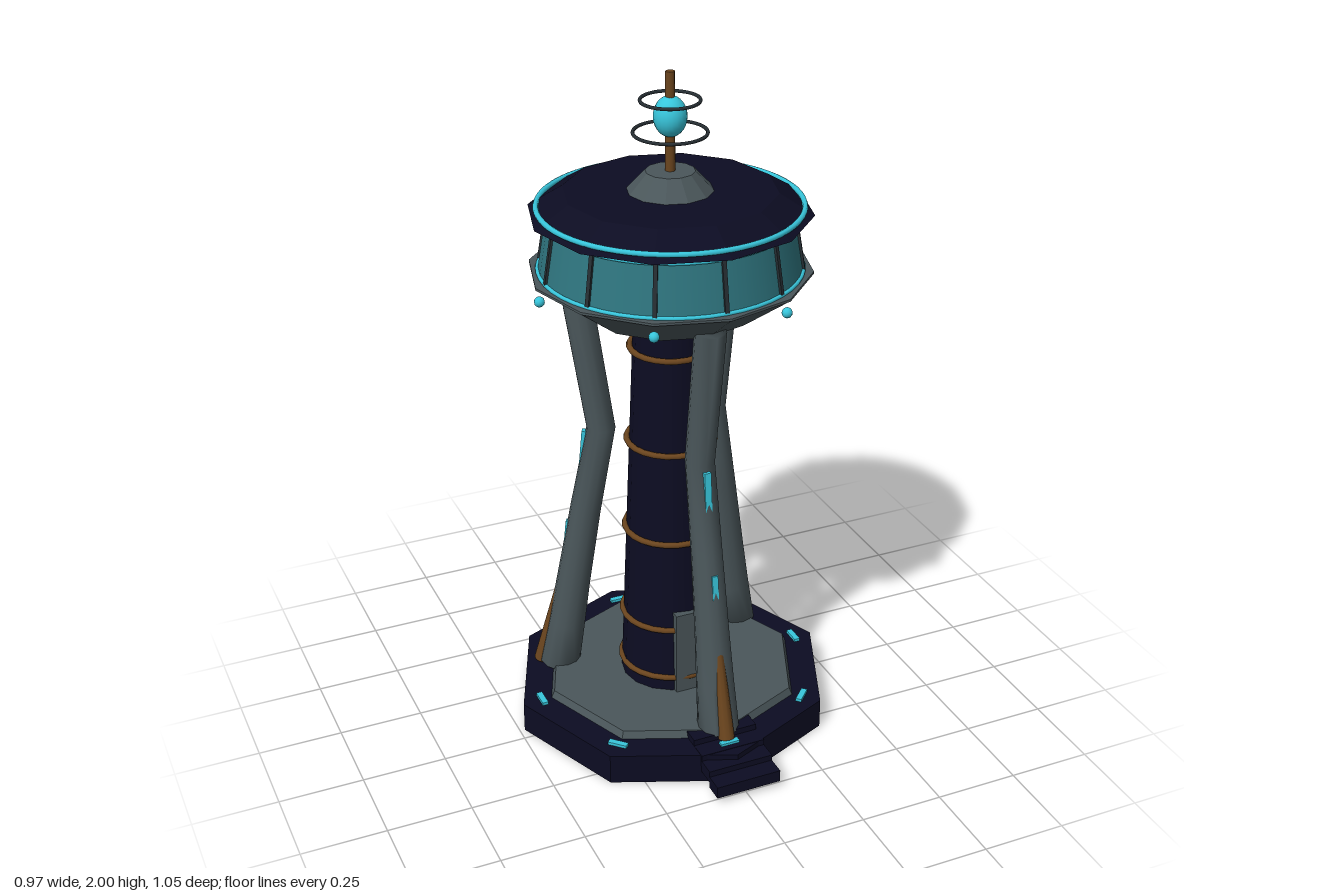
import * as THREE from 'three';

const mat = (name, color, extra = {}) => {
  const m = new THREE.MeshStandardMaterial({ color, ...extra });
  m.name = name;
  return m;
};

export function createModel() {
  const navy = mat('navy', 0x0c0c22);
  const grey = mat('slate grey', 0x4a565a);
  const cyan = mat('cyan glow', 0x38c6dc);
  const copper = mat('copper', 0x6b451e);
  const glass = mat('teal glass', 0x2f7680);
  const dark = mat('dark frame', 0x262e33);

  const model = new THREE.Group();
  model.name = 'tower';
  const tower = new THREE.Group();
  tower.name = 'towerBody';
  tower.position.z = -0.04;
  model.add(tower);

  const add = (name, geo, material, x = 0, y = 0, z = 0, parent = tower) => {
    const m = new THREE.Mesh(geo, material);
    m.name = name;
    m.position.set(x, y, z);
    parent.add(m);
    return m;
  };
  // upright frustum between two heights, optionally faceted
  const frustum = (name, material, rBottom, rTop, y0, y1, sides, flat = true) => {
    let g = new THREE.CylinderGeometry(rTop, rBottom, y1 - y0, sides);
    if (flat) {
      g = g.toNonIndexed();
      g.computeVertexNormals();
    }
    return add(name, g, material, 0, (y0 + y1) / 2, 0);
  };
  const ring = (name, material, r, tube, y, segments = 48) => {
    const m = add(name, new THREE.TorusGeometry(r, tube, 8, segments), material, 0, y, 0);
    m.rotation.x = Math.PI / 2;
    return m;
  };
  // group turned so that its +z points outward at angle a
  const spoke = (name, a) => {
    const g = new THREE.Group();
    g.name = name;
    g.rotation.y = a;
    tower.add(g);
    return g;
  };
  // tapered rod between two points in the (y, z) plane of a spoke
  const rod = (name, material, y0, z0, y1, z1, r0, r1, parent) => {
    const m = add(name, new THREE.CylinderGeometry(r1, r0, Math.hypot(y1 - y0, z1 - z0), 10),
      material, 0, (y0 + y1) / 2, (z0 + z1) / 2, parent);
    m.rotation.x = Math.atan2(z1 - z0, y1 - y0);
    return m;
  };

  // base
  frustum('base', navy, 0.485, 0.485, 0, 0.093, 8);
  frustum('basePlate', grey, 0.395, 0.385, 0.093, 0.115, 8);
  for (let i = 0; i < 8; i++) {
    add('baseLight', new THREE.BoxGeometry(0.058, 0.009, 0.018), cyan, 0, 0.0975, 0.425,
      spoke('baseLightSpoke', i * Math.PI / 4));
  }
  for (let i = 0; i < 4; i++) {
    add('entranceStep', new THREE.BoxGeometry(0.2, 0.037, 0.056), navy,
      0, 0.039 + i * 0.0185, 0.532 - i * 0.0545);
  }

  // core shaft with copper bands and a door
  frustum('shaft', navy, 0.152, 0.104, 0.11, 1.34, 16, false);
  const bands = [[0.16, 0.152], [0.325, 0.147], [0.615, 0.137], [0.905, 0.129], [1.2, 0.118]];
  bands.forEach(([y, r]) => ring('shaftBand', copper, r, 0.009, y, 24));
  add('door', new THREE.BoxGeometry(0.1, 0.27, 0.03), grey, 0, 0.25, 0.142);

  // three bent legs: tapered sweep along a path of [y, distance out, radius]
  const path = [[0.1, 0.348, 0.062], [0.25, 0.322, 0.056], [0.4, 0.298, 0.051],
    [0.65, 0.256, 0.046], [0.925, 0.205, 0.043], [1.355, 0.27, 0.045]];
  const legGeometry = () => {
    const n = 12, pos = [], idx = [];
    path.forEach(([y, z, r], i) => {
      const a = path[Math.max(i - 1, 0)], b = path[Math.min(i + 1, path.length - 1)];
      const tilt = Math.atan2(b[1] - a[1], b[0] - a[0]);
      for (let j = 0; j < n; j++) {
        const t = j / n * Math.PI * 2, s = Math.cos(t) * r;
        pos.push(Math.sin(t) * r, y - s * Math.sin(tilt), z + s * Math.cos(tilt));
        if (i) {
          const k = (j + 1) % n, p = (i - 1) * n, q = i * n;
          idx.push(p + j, p + k, q + j, p + k, q + k, q + j);
        }
      }
    });
    const top = (path.length - 1) * n;
    for (let j = 1; j < n - 1; j++) idx.push(top, top + j, top + j + 1, 0, j + 1, j);
    const g = new THREE.BufferGeometry();
    g.setAttribute('position', new THREE.Float32BufferAttribute(pos, 3));
    g.setIndex(idx);
    g.computeVertexNormals();
    return g;
  };
  for (let i = 0; i < 3; i++) {
    const g = spoke('leg', i * Math.PI * 2 / 3);
    add('legStrut', legGeometry(), grey, 0, 0, 0, g);
    rod('legBrace', copper, 0.1, 0.405, 0.39, 0.335, 0.024, 0.014, g);
    add('legLightUpper', new THREE.BoxGeometry(0.02, 0.15, 0.024), cyan, 0, 0.835, 0.256, g)
      .rotation.x = -0.09;
    add('legLightLower', new THREE.BoxGeometry(0.018, 0.075, 0.016), cyan, 0, 0.565, 0.312, g)
      .rotation.x = -0.1;
  }

  // observation deck
  frustum('deckDish', grey, 0.25, 0.398, 1.325, 1.435, 12);
  frustum('deckRim', grey, 0.4, 0.4, 1.435, 1.442, 12);
  frustum('deckWindows', glass, 0.37, 0.345, 1.442, 1.592, 36, false);
  ring('windowSillLight', cyan, 0.371, 0.006, 1.445);
  ring('windowTopLight', cyan, 0.345, 0.006, 1.59);
  for (let i = 0; i < 12; i++) {
    const g = spoke('mullionSpoke', i * Math.PI / 6);
    add('mullion', new THREE.BoxGeometry(0.012, 0.15, 0.012), dark, 0, 1.517, 0.358, g)
      .rotation.x = -0.165;
  }
  for (let i = 0; i < 6; i++) {
    add('deckLamp', new THREE.SphereGeometry(0.015, 12, 8), cyan, 0, 1.4, 0.39,
      spoke('deckLampSpoke', (i + 0.5) * Math.PI / 3));
  }

  // roof
  frustum('roof', navy, 0.398, 0.3, 1.607, 1.667, 12);
  ring('roofLight', cyan, 0.37, 0.008, 1.625, 64);
  frustum('roofCap', grey, 0.128, 0.07, 1.66, 1.722, 12);

  // mast with beacon and hoops
  frustum('mast', copper, 0.014, 0.013, 1.7, 2, 10, false);
  add('beacon', new THREE.SphereGeometry(0.047, 20, 14), cyan, 0, 1.875, 0).scale.y = 1.22;
  ring('lowerHoop', dark, 0.102, 0.005, 1.83);
  ring('upperHoop', dark, 0.082, 0.005, 1.92);

  return model;
}
